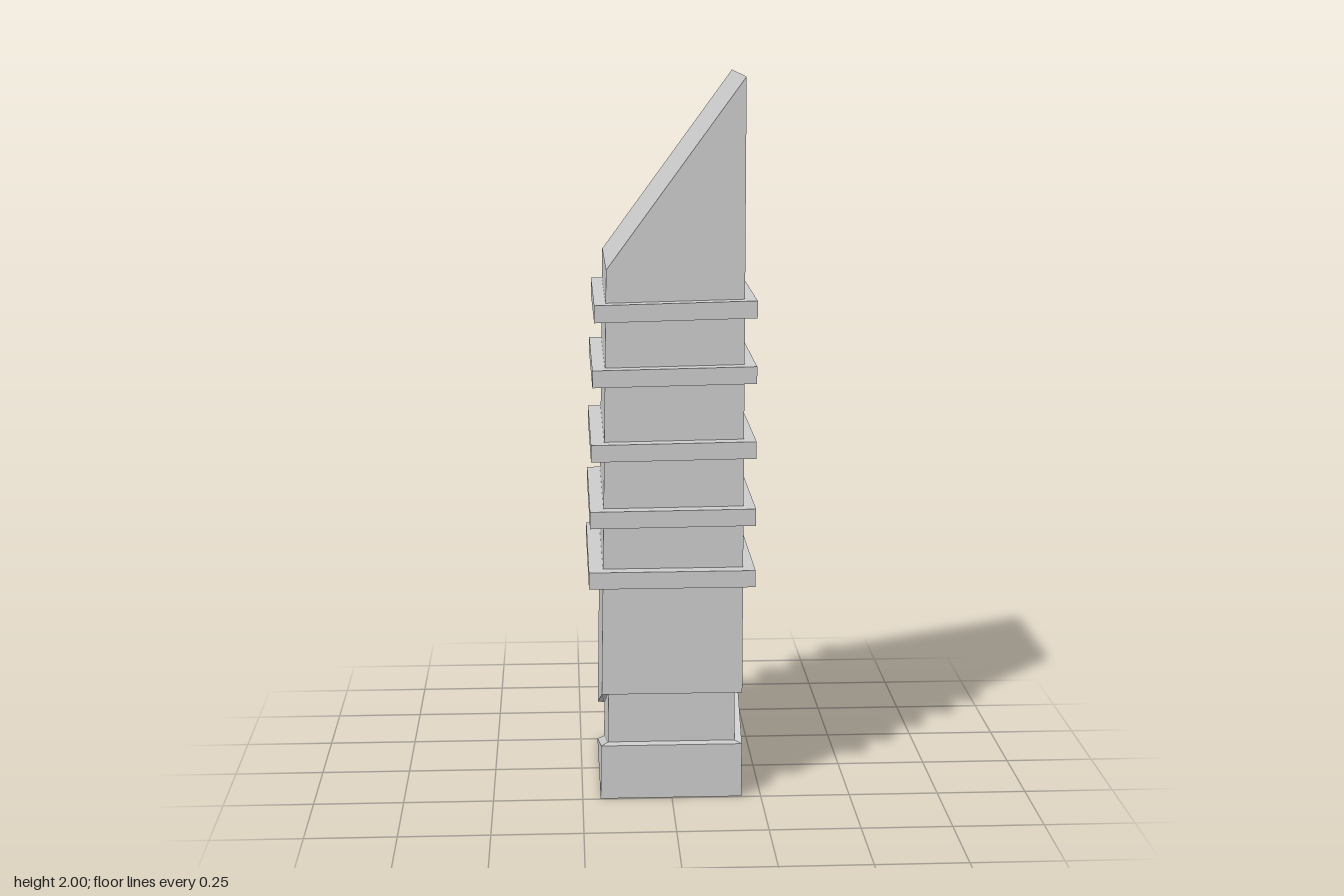
import * as THREE from 'three';

const material = new THREE.MeshStandardMaterial({ color: 0xcccccc, flatShading: true });
const RIGHT = 0.196, DEPTH = 0.246;
const leftEdge = (y) => -0.2 + 0.0155 * y; // one side leans in slightly

// Five-point outline: two corners with a ridge point between them, then the two leaning corners
function outline(heights, inset = 0) {
  const x = RIGHT - inset * 0.8, z = DEPTH - inset;
  const left = (y) => leftEdge(y) + inset * 0.8;
  const [a, p, b, c, d] = heights;
  return [[x, a, z], [x, p, 0], [x, b, -z], [left(c), c, -z], [left(d), d, z]];
}

// Faceted skin through a stack of outlines, with optional end caps
function loft(name, rings, { bottom = false, top = false } = {}) {
  const pos = [];
  const tri = (...pts) => pts.forEach((p) => pos.push(...p));
  for (let r = 0; r < rings.length - 1; r++) {
    const lo = rings[r], hi = rings[r + 1];
    for (let i = 0; i < lo.length; i++) {
      const j = (i + 1) % lo.length;
      tri(lo[i], lo[j], hi[j]);
      tri(lo[i], hi[j], hi[i]);
    }
  }
  const cap = (ring, flip) => {
    // fan from the last corner, which is never collinear with the ridge point
    const n = ring.length - 1;
    for (let i = 0; i < n - 1; i++) {
      if (flip) tri(ring[n], ring[i + 1], ring[i]);
      else tri(ring[n], ring[i], ring[i + 1]);
    }
  };
  if (bottom) cap(rings[0], true);
  if (top) cap(rings[rings.length - 1], false);
  const geometry = new THREE.BufferGeometry();
  geometry.setAttribute('position', new THREE.Float32BufferAttribute(pos, 3));
  geometry.computeVertexNormals();
  const mesh = new THREE.Mesh(geometry, material);
  mesh.name = name;
  return mesh;
}

// Slightly tilted collar around the shaft
function collar(index, y, leftX, drop) {
  const x1 = 0.227, height = 0.047;
  const geometry = new THREE.BoxGeometry(x1 - leftX, height, 0.57);
  geometry.translate((x1 + leftX) / 2, y, 0);
  const p = geometry.attributes.position;
  for (let i = 0; i < p.count; i++) {
    if (p.getX(i) < 0) p.setY(i, p.getY(i) - drop);
  }
  geometry.computeVertexNormals();
  const mesh = new THREE.Mesh(geometry, material);
  mesh.name = `collar${index + 1}`;
  return mesh;
}

export function createModel() {
  const group = new THREE.Group();
  group.name = 'slantedTower';

  // Edges of the zigzag groove
  const lowerOuter = outline([0.155, 0.345, 0.155, 0.002, 0.155]);
  const lowerInner = outline([0.158, 0.335, 0.158, 0.02, 0.158], 0.024);
  const upperInner = outline([0.302, 0.472, 0.302, 0.125, 0.302], 0.024);
  const upperOuter = outline([0.305, 0.49, 0.305, 0.12, 0.305]);

  group.add(loft('base', [outline([0, 0, 0, 0, 0]), lowerOuter, lowerInner], { bottom: true }));
  group.add(loft('grooveCore', [lowerInner, upperInner]));
  // Shaft with its slanted roof
  group.add(loft('shaft', [upperInner, upperOuter, outline([2, 2, 2, 1.49, 1.49])], { top: true }));

  // Collars: centre height, left end, tilt
  [
    [0.643, -0.229, 0.001],
    [0.816, -0.225, 0.004],
    [1.003, -0.221, 0.006],
    [1.209, -0.216, 0.008],
    [1.387, -0.21, 0.01],
  ].forEach(([y, leftX, drop], i) => group.add(collar(i, y, leftX, drop)));

  return group;
}
